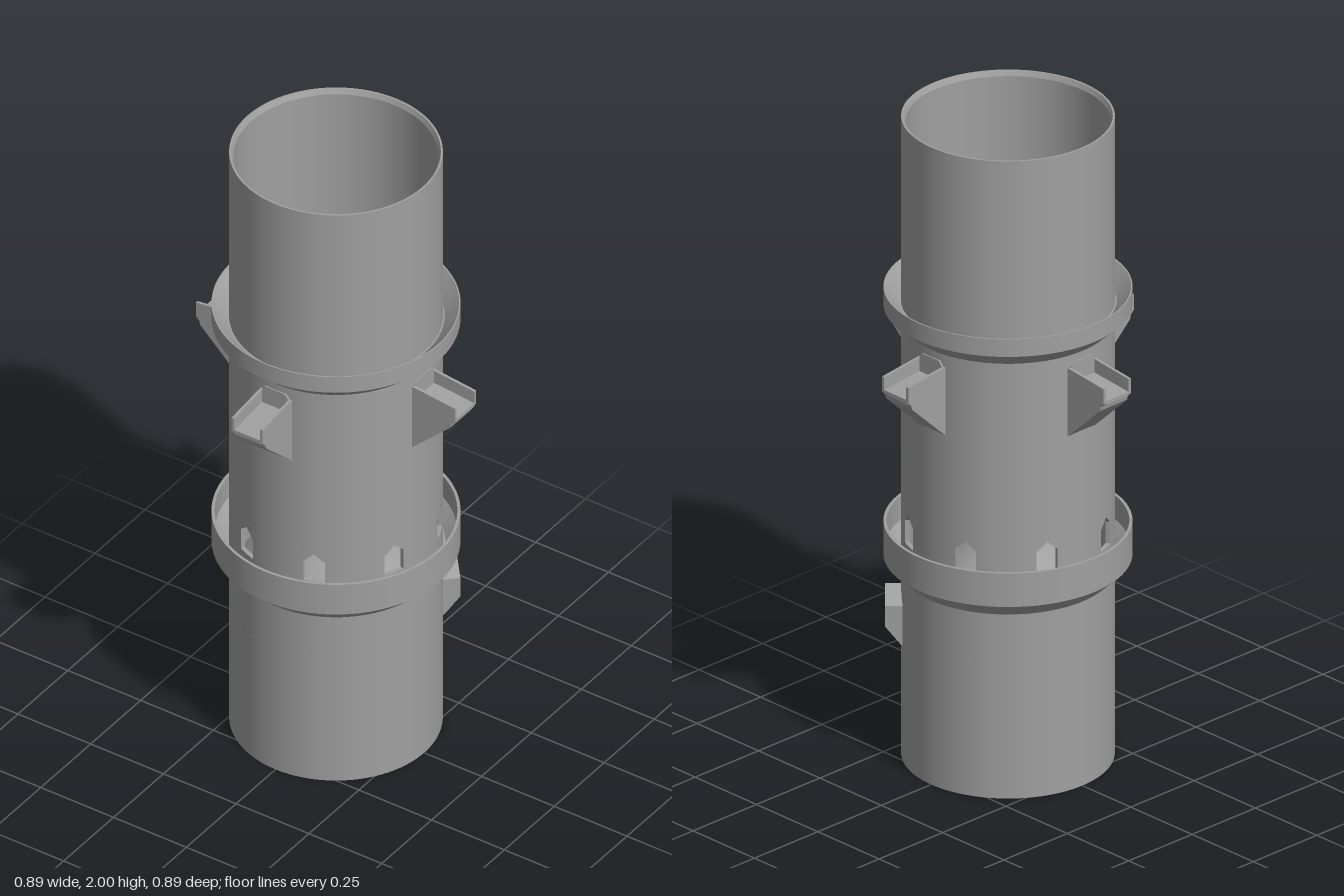
import * as THREE from 'three';
import { mergeGeometries } from 'three/addons/utils/BufferGeometryUtils.js';

const OUTER = 0.303, INNER = 0.29, DEG = Math.PI / 180;

// Sharp-edged turned part: each profile segment is its own smooth lathe
function turned(points) {
  const parts = [];
  for (let i = 0; i < points.length - 1; i++) {
    const pair = [points[i], points[i + 1]].map(([r, y]) => new THREE.Vector2(r, y));
    parts.push(new THREE.LatheGeometry(pair, 96));
  }
  return mergeGeometries(parts);
}

const shapeOf = (pts) => new THREE.Shape(pts.map(([x, y]) => new THREE.Vector2(x, y)));

// Flat (radius, height) profile given a width across the radial direction
function profileSlab(pts, width, offset = 0) {
  const g = new THREE.ExtrudeGeometry(shapeOf(pts), { depth: width, bevelEnabled: false });
  return g.translate(0, 0, offset - width / 2).rotateY(-Math.PI / 2);
}

// Curved wall in 45 degree sectors, with house-shaped openings rising from its foot
function piercedBand(y0, y1, offset, hasHole, half, eave, peak) {
  const edges = [-22.5, -18, -14, -10, -half, -half / 2, 0, half / 2, half, 10, 14, 18, 22.5];
  const parts = [];
  for (let s = 0; s < 8; s++) {
    for (let i = 0; i < edges.length - 1; i++) {
      const a = edges[i], b = edges[i + 1];
      const open = hasHole(s) && Math.abs(a + b) / 2 < half;
      const low = (t) => open ? peak - (peak - eave) * Math.abs(t) / half : y0;
      const c = s * 45 + offset;
      const g = new THREE.ExtrudeGeometry(shapeOf([
        [(c + a) * DEG, low(a)], [(c + b) * DEG, low(b)], [(c + b) * DEG, y1], [(c + a) * DEG, y1],
      ]), { depth: OUTER - INNER, bevelEnabled: false });
      // Wrap the flat piece and its normals round the axis
      const p = g.attributes.position, n = g.attributes.normal;
      for (let k = 0; k < p.count; k++) {
        const t = p.getX(k), r = INNER + p.getZ(k), nx = n.getX(k), nz = n.getZ(k);
        const sn = Math.sin(t), cs = Math.cos(t);
        p.setXYZ(k, r * sn, p.getY(k), r * cs);
        n.setXYZ(k, nx * cs + nz * sn, n.getY(k), nz * cs - nx * sn);
      }
      parts.push(g);
    }
  }
  return mergeGeometries(parts);
}

export function createModel() {
  const model = new THREE.Group();
  const grey = new THREE.MeshStandardMaterial({ color: 0xa0a0a0 });
  grey.name = 'grey plastic';

  const add = (name, geometry, parent = model) => {
    const mesh = new THREE.Mesh(geometry, grey);
    mesh.name = name;
    parent.add(mesh);
    return mesh;
  };
  const radialGroup = (name, degrees) => {
    const g = new THREE.Group();
    g.name = name;
    g.rotation.y = degrees * DEG;
    model.add(g);
    return g;
  };

  // Tube, in plain lengths with two pierced bands between them
  const tube = (y0, y1) => turned([[INNER, y0], [OUTER, y0], [OUTER, y1], [INNER, y1], [INNER, y0]]);
  add('lowerTube', tube(0, 0.435));
  add('outletBand', piercedBand(0.435, 0.53, 0, (s) => s === 3, 7.5, 0.47, 0.505));
  add('middleTube', tube(0.53, 0.7));
  add('windowBand', piercedBand(0.7, 0.81, 22.5, () => true, 6, 0.768, 0.796));
  add('upperTube', turned([[INNER, 0.81], [OUTER, 0.81], [OUTER, 2], [0.297, 2], [INNER, 1.985], [INNER, 0.81]]));

  // Pointed floor inside the tube
  add('innerCone', turned([[0.292, 0.515], [0, 0.79], [0, 0.78], [0.292, 0.505]]));

  // Flared upper collar and the deeper tray collar
  add('upperCollar', turned([
    [0.3, 1.362], [0.353, 1.41], [0.353, 1.465], [0.349, 1.465], [0.308, 1.42], [0.3, 1.42],
  ]));
  add('trayCollar', turned([
    [0.3, 0.575], [0.353, 0.625], [0.353, 0.73], [0.344, 0.73], [0.344, 0.655], [0.31, 0.62], [0.3, 0.62],
  ]));

  // Four channelled brackets
  for (let i = 0; i < 4; i++) {
    const bracket = radialGroup('bracket', i * 90);
    add('bracketBody', profileSlab([
      [0.296, 1.11], [0.43, 1.237], [0.433, 1.25], [0.445, 1.258], [0.445, 1.27], [0.296, 1.285],
    ], 0.09), bracket);
    for (const side of [-1, 1]) {
      add('bracketSide', profileSlab([
        [0.296, 1.11], [0.43, 1.237], [0.433, 1.25], [0.445, 1.262], [0.445, 1.31], [0.296, 1.327],
      ], 0.009, side * 0.049), bracket);
    }
    // Thin chamfered panel closing the channel at the tube
    const panel = new THREE.ExtrudeGeometry(shapeOf([
      [-0.045, 1.27], [0.045, 1.27], [0.045, 1.33], [0.034, 1.343], [-0.034, 1.343], [-0.045, 1.33],
    ]), { depth: 0.009, bevelEnabled: false });
    add('bracketPanel', panel.translate(0, 0, 0.297), bracket);
  }

  // Hooded outlet low on one side, with a sloping support below
  const outlet = radialGroup('outlet', 135);
  const house = shapeOf([[-0.057, 0.42], [0.057, 0.42], [0.057, 0.485], [0, 0.53], [-0.057, 0.485]]);
  house.holes.push(new THREE.Path(
    [[-0.038, 0.436], [-0.038, 0.472], [0, 0.505], [0.038, 0.472], [0.038, 0.436]]
      .map(([x, y]) => new THREE.Vector2(x, y))));
  add('outletHood', new THREE.ExtrudeGeometry(house, { depth: 0.054, bevelEnabled: false })
    .translate(0, 0, 0.294), outlet);
  add('outletSupport', profileSlab([[0.294, 0.36], [0.302, 0.363], [0.348, 0.42], [0.294, 0.42]], 0.114), outlet);

  return model;
}
